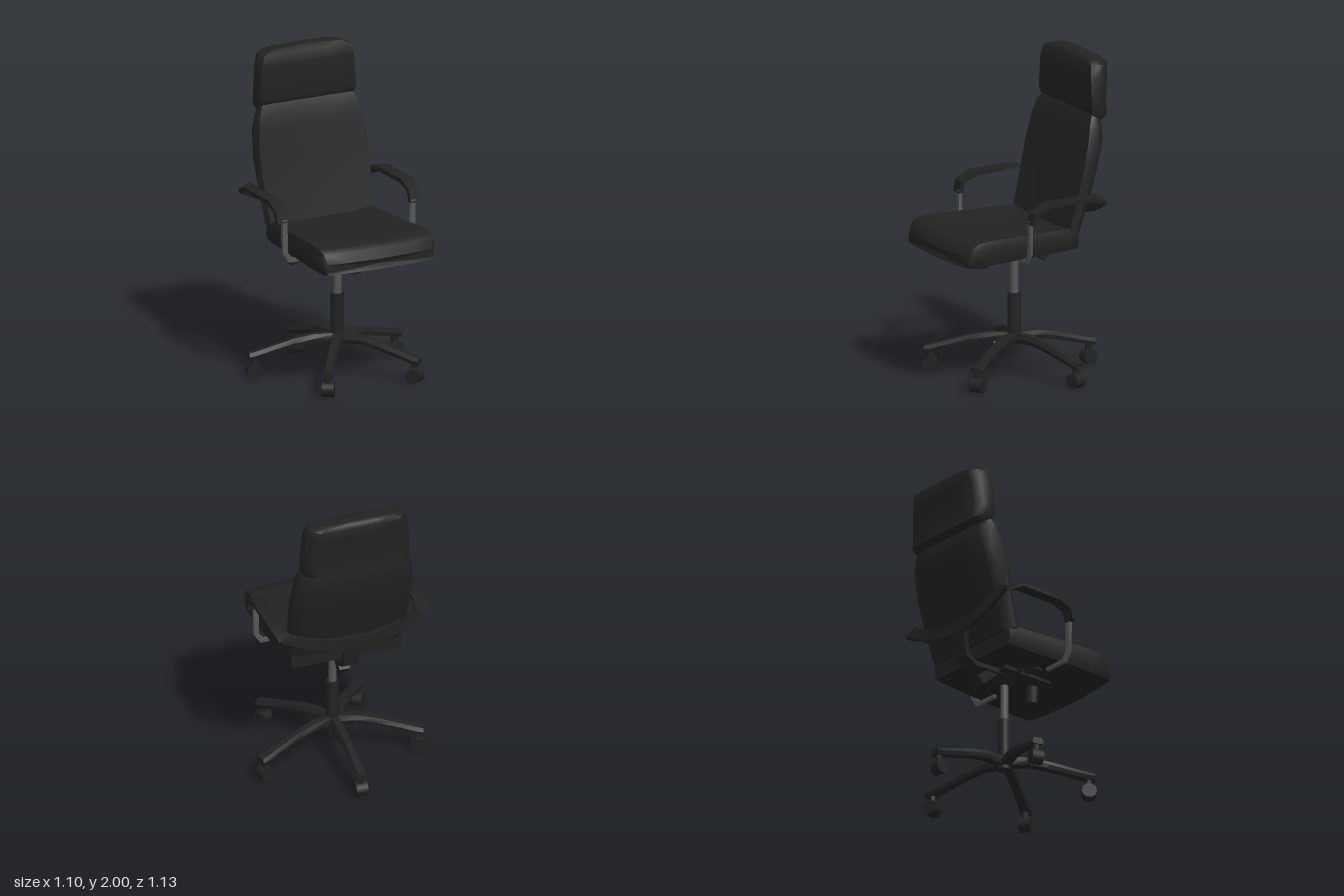
import * as THREE from 'three';
import { toCreasedNormals } from 'three/addons/utils/BufferGeometryUtils.js';

const black = new THREE.MeshStandardMaterial({ color: 0x222222 });
black.name = 'black';
const steel = new THREE.MeshStandardMaterial({ color: 0x555555 });
steel.name = 'grey steel';

function add(parent, name, geometry, material = black, x = 0, y = 0, z = 0) {
  const mesh = new THREE.Mesh(geometry, material);
  mesh.name = name;
  mesh.position.set(x, y, z);
  parent.add(mesh);
  return mesh;
}

// Closed skin through rings of [x, y, z] points, with flat caps, wound outwards.
function loft(rings, crease = 0.7) {
  const n = rings[0].length, tris = [];
  const quad = (a, b, c, d) => tris.push([a, b, c], [a, c, d]);
  for (let i = 0; i < rings.length - 1; i++)
    for (let j = 0; j < n; j++) {
      const k = (j + 1) % n;
      quad(rings[i][j], rings[i][k], rings[i + 1][k], rings[i + 1][j]);
    }
  const centre = (ring) => [0, 1, 2].map((a) => ring.reduce((s, p) => s + p[a], 0) / n);
  const first = rings[0], last = rings[rings.length - 1];
  const c0 = centre(first), c1 = centre(last);
  for (let j = 0; j < n; j++) {
    const k = (j + 1) % n;
    tris.push([c0, first[k], first[j]], [c1, last[j], last[k]]);
  }
  let volume = 0;
  for (const [a, b, c] of tris)
    volume += a[0] * (b[1] * c[2] - b[2] * c[1]) + a[1] * (b[2] * c[0] - b[0] * c[2]) + a[2] * (b[0] * c[1] - b[1] * c[0]);
  if (volume < 0) tris.forEach((t) => t.reverse());
  const g = new THREE.BufferGeometry();
  g.setAttribute('position', new THREE.Float32BufferAttribute(tris.flat(2), 3));
  return toCreasedNormals(g, crease);
}

// Flat bar: each row is a centre, a half-width vector and a half-thickness vector.
const bar = (rows) => loft(rows.map(([c, u, v]) =>
  [[1, 1], [-1, 1], [-1, -1], [1, -1]].map(([a, b]) => c.map((e, i) => e + a * u[i] + b * v[i]))));

// Upright cushion: rows give half width, then front y, z and back y, z.
const half = [[0, 0.06], [0.5, 0.04], [0.95, 0], [1, 0.35], [0.95, 0.68], [0.8, 0.96], [0.4, 1]];
const outline = [...half, [0, 1], ...half.slice(1).reverse().map(([x, t]) => [-x, t])];
const cushion = (rows) => loft(rows.map(([w, yf, zf, yb, zb]) =>
  outline.map(([x, t]) => [x * w, yf + (yb - yf) * t, zf + (zb - zf) * t])), 0.9);

function buildSeat() {
  // z, half width, top y, bottom y, forward bulge, dish depth
  const rows = [
    [-0.255, 0.355, 0.965, 0.84, 0, 0.02], [-0.2, 0.36, 0.97, 0.835, 0, 0.025],
    [0.1, 0.383, 0.97, 0.825, 0, 0.025], [0.38, 0.403, 0.97, 0.815, 0, 0.015],
    [0.46, 0.403, 0.96, 0.81, 0.02, 0.005], [0.505, 0.395, 0.935, 0.808, 0.03, 0],
    [0.53, 0.38, 0.875, 0.81, 0.03, 0],
  ];
  const across = [-1, -0.6, 0, 0.6, 1];
  return loft(rows.map(([z, w, top, bottom, bulge, dish]) => {
    const point = (x, y) => [x * w, y, z + bulge * (1 - x * x)];
    return [
      ...across.map((x) => point(x * 0.97, top - dish * (1 - x * x))),
      point(1, top - (top - bottom) * 0.25), point(1, bottom + (top - bottom) * 0.25),
      ...across.map((x) => point(-x * 0.97, bottom)),
      point(-1, bottom + (top - bottom) * 0.25), point(-1, top - (top - bottom) * 0.25),
    ];
  }), 0.9);
}

function buildBase() {
  const base = new THREE.Group();
  base.name = 'starBase';
  // distance from centre, top y, bottom y, half width
  const stations = [
    [0, 0.265, 0.2, 0.035], [0.15, 0.264, 0.212, 0.036], [0.27, 0.243, 0.19, 0.032],
    [0.42, 0.2, 0.152, 0.032], [0.51, 0.175, 0.128, 0.038], [0.555, 0.165, 0.122, 0.038],
  ];
  const legShape = loft(stations.map(([r, top, bottom, w]) => [
    [-w * 0.6, top, r], [w * 0.6, top, r], [w, (top + bottom) / 2, r],
    [w * 0.8, bottom, r], [-w * 0.8, bottom, r], [-w, (top + bottom) / 2, r],
  ]));
  const wheelShape = new THREE.CylinderGeometry(0.048, 0.048, 0.075, 10).rotateZ(Math.PI / 2);
  const stemShape = new THREE.CylinderGeometry(0.022, 0.022, 0.06, 8);
  for (let i = 0; i < 5; i++) {
    const arm = new THREE.Group();
    arm.name = 'baseArm';
    arm.rotation.y = Math.PI + (i * Math.PI * 2) / 5;
    add(arm, 'leg', legShape);
    add(arm, 'casterStem', stemShape, black, 0, 0.105, 0.52);
    add(arm, 'casterWheel', wheelShape, black, 0, 0.048, 0.52);
    base.add(arm);
  }
  return base;
}

export function createModel() {
  const chair = new THREE.Group();
  chair.name = 'officeChair';

  // Base and gas lift
  chair.add(buildBase());
  add(chair, 'columnSleeve', new THREE.CylinderGeometry(0.042, 0.042, 0.335, 12), black, 0, 0.348);
  add(chair, 'gasLift', new THREE.CylinderGeometry(0.025, 0.025, 0.26, 12), steel, 0, 0.63);

  // Tilt mechanism under the seat
  add(chair, 'tiltHousing', new THREE.CylinderGeometry(0.1, 0.05, 0.07, 8), black, 0, 0.785);
  add(chair, 'mountPlate', new THREE.BoxGeometry(0.24, 0.04, 0.36), black, 0, 0.822, 0.09);
  add(chair, 'tensionKnob', new THREE.CylinderGeometry(0.042, 0.036, 0.13, 10), black, 0, 0.76, 0.22);
  const block = add(chair, 'tiltBlock', new THREE.BoxGeometry(0.07, 0.06, 0.14), black, 0, 0.765, -0.16);
  block.rotation.x = -0.72;
  add(chair, 'heightLever', bar([[-0.06, 0.8, 0.012], [-0.17, 0.8, 0.012], [-0.21, 0.768, 0.014], [-0.335, 0.75, 0.024]]
    .map(([x, y, w]) => [[x, y, 0], [0, 0, w], [0, 0.007, 0]])));

  // Cushions
  add(chair, 'seat', buildSeat());
  add(chair, 'backrest', cushion([
    [0.38, 0.955, -0.19, 0.935, -0.285], [0.395, 1.2, -0.25, 1.17, -0.365],
    [0.402, 1.36, -0.285, 1.33, -0.41], [0.385, 1.53, -0.322, 1.5, -0.455],
    [0.36, 1.62, -0.345, 1.58, -0.457], [0.335, 1.665, -0.37, 1.64, -0.445],
  ]));
  add(chair, 'headrest', cushion([
    [0.345, 1.655, -0.37, 1.61, -0.455], [0.355, 1.69, -0.36, 1.64, -0.498],
    [0.355, 1.74, -0.358, 1.74, -0.488], [0.34, 1.9, -0.36, 1.9, -0.505],
    [0.318, 1.97, -0.37, 1.97, -0.514], [0.26, 1.995, -0.39, 1.992, -0.5],
    [0.15, 2, -0.41, 2, -0.48],
  ]));

  // Spine from the mechanism up to the rear bar
  add(chair, 'backSpine', bar([
    [[0, 0.81, 0], [0.06, 0, 0], [0, 0.015, 0]],
    [[0, 0.81, -0.26], [0.05, 0, 0], [0, 0.015, 0]],
    [[0, 0.85, -0.325], [0.05, 0, 0], [0, 0.01, 0.014]],
    [[0, 0.95, -0.35], [0.055, 0, 0], [0, 0.002, 0.016]],
    [[0, 1.065, -0.368], [0.1, 0, 0], [0, 0.002, 0.016]],
  ]));

  // Armrests and rear bar: one ribbon running around the backrest
  const armHalf = [
    [[0.47, 1.06, 0.135], [0.037, 0, 0], [0, 0, 0.014]],
    [[0.47, 1.13, 0.12], [0.04, 0, 0], [0, 0.006, 0.013]],
    [[0.47, 1.173, 0.03], [0.04, 0, 0], [0, 0.014, 0.006]],
    [[0.47, 1.18, -0.27], [0.04, 0, 0], [0, 0.014, 0]],
    [[0.44, 1.15, -0.372], [0.036, -0.02, -0.006], [0.004, 0.012, -0.01]],
    [[0.3, 1.085, -0.378], [0, -0.038, 0], [0, 0, -0.014]],
    [[0.12, 1.035, -0.372], [0, -0.038, 0], [0, 0, -0.014]],
  ];
  const mirrored = armHalf.map((row) => row.map(([x, y, z]) => [-x, y, z])).reverse();
  add(chair, 'armrests', bar([...armHalf, ...mirrored]));

  // Steel posts from the armrest fronts to the seat underside
  for (const side of [1, -1]) {
    add(chair, side > 0 ? 'leftArmPost' : 'rightArmPost', bar([
      [[0.452, 1.08, 0.136], [0.017, 0, 0]], [[0.45, 0.87, 0.136], [0.017, 0, 0]],
      [[0.412, 0.815, 0.136], [0.012, -0.012, 0]], [[0.25, 0.815, 0.136], [0, -0.012, 0]],
    ].map(([[x, y, z], [ux, uy]]) => [[x * side, y, z], [ux * side, uy, 0], [0, 0, 0.011]])), steel);
  }
  return chair;
}
